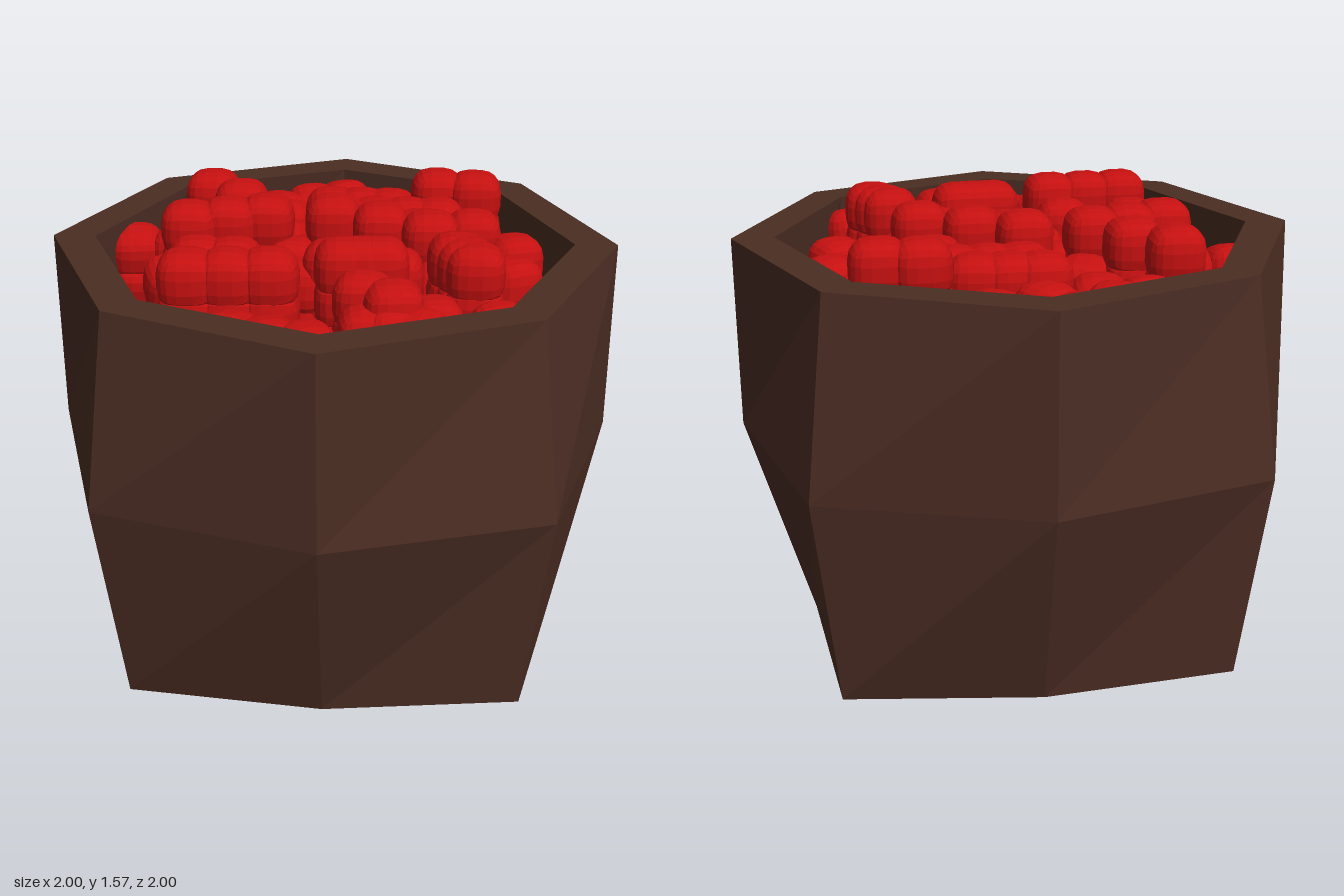
import * as THREE from 'three';
import { RoundedBoxGeometry } from 'three/addons/geometries/RoundedBoxGeometry.js';
import { mergeGeometries } from 'three/addons/utils/BufferGeometryUtils.js';

// Eight-sided shell: each ring is [height, reach on the axes, reach on the diagonals]
function octagonShell(rings) {
  const points = rings.map(([y, axis, diag]) =>
    Array.from({ length: 8 }, (_, i) => {
      const a = (i * Math.PI) / 4;
      const r = i % 2 ? diag * Math.SQRT2 : axis;
      return [Math.sin(a) * r, y, Math.cos(a) * r];
    }));
  const pos = [];
  for (let k = 0; k < rings.length - 1; k++) {
    for (let i = 0; i < 8; i++) {
      const j = (i + 1) % 8;
      const a = points[k][i], b = points[k][j], c = points[k + 1][j], d = points[k + 1][i];
      if (rings[k][1] > 0) pos.push(...a, ...b, ...c);
      if (rings[k + 1][1] > 0) pos.push(...a, ...c, ...d);
    }
  }
  const g = new THREE.BufferGeometry();
  g.setAttribute('position', new THREE.Float32BufferAttribute(pos, 3));
  g.computeVertexNormals();
  return g;
}

// Rows of berries, [x from, z from, x to, z to, count], one list per height
const HIGH_ROWS = [
  [-0.48, -0.45, -0.36, -0.33, 2],
  [-0.52, -0.07, -0.25, -0.16, 3],
  [-0.01, -0.17, 0.34, 0, 3],
  [0.37, -0.5, 0.51, -0.48, 2],
  [-0.46, 0.43, -0.19, 0.41, 3],
  [0.43, 0.23, 0.49, 0.33, 3],
  [0.05, 0.3, 0.17, 0.29, 3],
];
const MIDDLE_ROWS = [
  [-0.03, -0.47, 0.19, -0.46, 3],
  [0.02, -0.35, 0.37, -0.36, 4],
  [0.31, -0.22, 0.5, -0.23, 2],
  [-0.47, 0.11, -0.47, 0.25, 2],
  [-0.34, 0.12, -0.22, 0.28, 2],
  [0, 0.12, 0.22, 0.2, 3],
  [0.12, 0.42, 0.22, 0.5, 2],
];
const LOW_ROWS = [
  [0.65, -0.17, 0.63, 0.07, 2],
  [-0.05, 0.7, -0.3, 0.62, 3],
  [-0.74, -0.2, -0.58, -0.19, 2],
  [-0.56, 0.13, -0.36, -0.2, 2],
  [0.14, 0.55, 0.3, 0.57, 3],
  [0.35, 0.46, 0.57, 0.52, 2],
  [0, -0.79, -0.36, -0.56, 4],
  [0.16, -0.66, -0.21, -0.52, 3],
  [0.5, -0.06, 0.38, 0.12, 2],
  [-0.2, -0.3, -0.1, 0.12, 3],
];

function berryHeap() {
  let seed = 7;
  const random = () => (seed = (seed * 16807) % 2147483647) / 2147483647;
  const berry = new RoundedBoxGeometry(0.2, 0.2, 0.2, 2, 0.075);
  const parts = [];
  // Every berry in a row tops a column of three
  const addRows = (rows, y, turn, tilt) => {
    for (const [x0, z0, x1, z1, count] of rows) {
      for (let i = 0; i < count; i++) {
        const t = i / (count - 1);
        const x = THREE.MathUtils.lerp(x0, x1, t), z = THREE.MathUtils.lerp(z0, z1, t);
        const yaw = (random() * 2 - 1) * turn;
        for (let level = 0; level < 3; level++) {
          parts.push(berry.clone()
            .rotateX((random() - 0.5) * tilt)
            .rotateY(yaw)
            .translate(x, y - level * 0.12, z));
        }
      }
    }
  };
  addRows(HIGH_ROWS, 1.47, 0.05, 0);
  addRows(MIDDLE_ROWS, 1.4, 0.15, 0);
  addRows(LOW_ROWS, 1.33, 0.6, 0.6);
  return mergeGeometries(parts);
}

export function createModel() {
  const group = new THREE.Group();
  const wood = new THREE.MeshStandardMaterial({ color: 0x4b2d23, flatShading: true });
  wood.name = 'dark brown wood';
  const red = new THREE.MeshStandardMaterial({ color: 0xc51010, flatShading: true });
  red.name = 'berry red';

  // Barrel: base, bulging outer wall, flat rim, inner wall and floor
  const barrel = new THREE.Mesh(octagonShell([
    [0, 0, 0],
    [0, 0.77, 0.69],
    [0.77, 1, 0.77],
    [1.46, 1, 0.7],
    [1.46, 0.85, 0.6],
    [0.77, 0.85, 0.66],
    [0.15, 0.66, 0.59],
    [0.15, 0, 0],
  ]), wood);
  barrel.name = 'barrel';

  const berries = new THREE.Mesh(berryHeap(), red);
  berries.name = 'berries';

  group.add(barrel, berries);
  return group;
}
